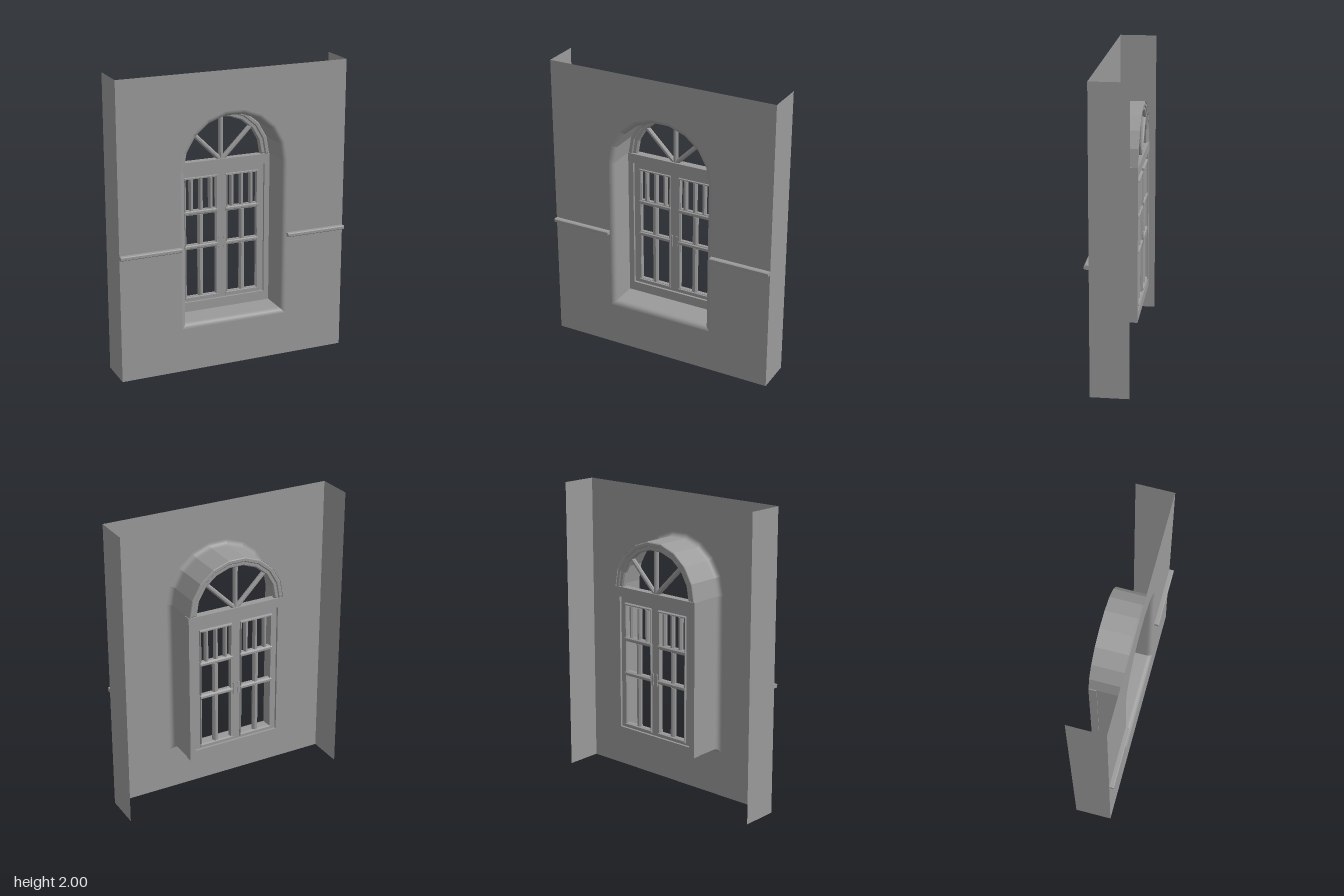
import * as THREE from 'three';

const material = new THREE.MeshStandardMaterial({ color: 0x9a9a9a, side: THREE.DoubleSide });
const SPRING = 1.365; // height where the arch begins
const SEGMENTS = 9; // facets of the arch
const FRONT = 0.109; // depth of the wall face

// Faceted half circle, from right to left
function archPoints(radius) {
  const points = [];
  for (let i = 0; i <= SEGMENTS; i++) {
    const a = (i / SEGMENTS) * Math.PI;
    points.push(new THREE.Vector2(radius * Math.cos(a), SPRING + radius * Math.sin(a)));
  }
  return points;
}

// Closed outline of the arched opening
function openingPoints(halfWidth, bottom) {
  return [new THREE.Vector2(-halfWidth, bottom), new THREE.Vector2(halfWidth, bottom), ...archPoints(halfWidth)];
}

function rectPoints(x0, y0, x1, y1) {
  return [[x0, y0], [x1, y0], [x1, y1], [x0, y1]].map(([x, y]) => new THREE.Vector2(x, y));
}

function shapeOf(outline, holes = []) {
  const shape = new THREE.Shape(outline);
  holes.forEach((h) => shape.holes.push(new THREE.Path(h)));
  return shape;
}

function add(parent, name, geometry) {
  const mesh = new THREE.Mesh(geometry, material);
  mesh.name = name;
  parent.add(mesh);
  return mesh;
}

// Flat plate with holes between two depths, optionally with chamfered edges
function plate(parent, name, outline, holes, z0, z1, bevel = 0) {
  const geometry = new THREE.ExtrudeGeometry(shapeOf(outline, holes), {
    depth: z1 - z0 - 2 * bevel, bevelEnabled: bevel > 0, bevelSize: bevel, bevelThickness: bevel, bevelOffset: -bevel, bevelSegments: 1,
  });
  return add(parent, name, geometry.translate(0, 0, z0 + bevel));
}

function box(parent, name, x0, x1, y0, y1, z0, z1) {
  const geometry = new THREE.BoxGeometry(Math.abs(x1 - x0), y1 - y0, z1 - z0);
  return add(parent, name, geometry.translate((x0 + x1) / 2, (y0 + y1) / 2, (z0 + z1) / 2));
}

// Upright eight-sided glazing bar, centred on its own origin
function barGeometry(width, length, depth) {
  const r = 0.5 / Math.cos(Math.PI / 8);
  const geometry = new THREE.CylinderGeometry(r, r, length, 8, 1, false, Math.PI / 8).scale(width, 1, depth).toNonIndexed();
  geometry.computeVertexNormals();
  return geometry;
}

// Reveal: one strip per edge of the outline, smooth in depth and faceted round the arch
function revealGeometry() {
  const rings = [];
  for (let i = 0; i <= 5; i++) {
    const a = (i / 5) * Math.PI / 2;
    rings.push({ grow: 0.032 * (1 - Math.sin(a)), z: FRONT - 0.032 + 0.032 * Math.cos(a) });
  }
  rings.push({ grow: 0, z: 0.06 }, { grow: 0, z: -0.14 });
  const outlines = rings.map((r) => openingPoints(0.341 + r.grow, 0.33 - r.grow));
  const count = outlines[0].length;
  const positions = [], indices = [];
  for (let e = 0; e < count; e++) {
    const base = positions.length / 3;
    rings.forEach((r, k) => {
      for (const p of [outlines[k][e], outlines[k][(e + 1) % count]]) positions.push(p.x, p.y, r.z);
      if (k === 0) return;
      const b = base + 2 * k;
      indices.push(b - 2, b - 1, b, b - 1, b + 1, b);
    });
  }
  const geometry = new THREE.BufferGeometry();
  geometry.setAttribute('position', new THREE.Float32BufferAttribute(positions, 3));
  geometry.setIndex(indices);
  geometry.computeVertexNormals();
  return geometry;
}

// Glazed leaf with its bars; side is +1 for left, -1 for right
function leaf(parent, side) {
  const group = new THREE.Group();
  group.name = side > 0 ? 'leftLeaf' : 'rightLeaf';
  parent.add(group);
  const rows = [[0.43, 0.763], [0.795, 1.0], [1.033, 1.245]];
  const span = (a, b) => [Math.min(side * a, side * b), Math.max(side * a, side * b)];
  const [o0, o1] = span(0, 0.304);
  const [h0, h1] = span(0.042, 0.253);
  plate(group, 'leafFrame', rectPoints(o0, 0.395, o1, 1.3),
    rows.map(([a, b]) => rectPoints(h0, a, h1, b)), -0.124, -0.104);

  // Upright bars: three in the top row, one in the others
  rows.forEach(([y0, y1], row) => {
    const centres = row === 2 ? [0.076, 0.145, 0.214] : [0.15];
    centres.forEach((c) => {
      const bar = add(group, 'uprightBar', barGeometry(row === 2 ? 0.027 : 0.036, y1 - y0, 0.036));
      bar.position.set(side * c, (y0 + y1) / 2, -0.117);
    });
  });
  // Projecting cross rails and side beads
  [[0.41, 0.43], [0.763, 0.795], [1.0, 1.033], [1.245, 1.262]].forEach(([y0, y1]) => {
    const rail = add(group, 'crossRail', barGeometry(y1 - y0, 0.235, 0.044));
    rail.rotation.z = Math.PI / 2;
    rail.position.set(side * 0.1475, (y0 + y1) / 2, -0.118);
  });
  [0.036, 0.259].forEach((x) => {
    const bead = add(group, 'sideBead', barGeometry(0.012, 0.835, 0.036));
    bead.position.set(side * x, 0.8375, -0.117);
  });

  // Slim pull handle on both faces
  for (const [z0, z1, inner] of [[-0.094, -0.088, -0.104], [-0.139, -0.133, -0.124]]) {
    box(group, 'handle', side * 0.012, side * 0.024, 0.745, 0.83, z0, z1);
    const [p0, p1] = inner < z0 ? [inner, z0] : [z1, inner];
    for (const y of [0.757, 0.818]) box(group, 'handlePost', side * 0.014, side * 0.022, y - 0.005, y + 0.005, p0, p1);
  }
}

export function createModel() {
  const model = new THREE.Group();
  model.name = 'wallWithArchedWindow';

  // Wall face with arched opening, and return walls at both sides
  const face = shapeOf(rectPoints(-0.793, 0, 0.793, 2), [openingPoints(0.373, 0.298)]);
  add(model, 'wallFace', new THREE.ShapeGeometry(face).translate(0, 0, FRONT));
  for (const side of [1, -1]) {
    const wall = add(model, 'wallReturn', new THREE.PlaneGeometry(FRONT + 0.14, 2));
    wall.rotation.y = side * Math.PI / 2;
    wall.position.set(side * 0.793, 1, (FRONT - 0.14) / 2);
  }
  add(model, 'windowReveal', revealGeometry());

  // Moulded string course on each side of the window
  for (const side of [1, -1]) {
    const profile = shapeOf([[0, 0.842], [0.025, 0.842], [0.031, 0.847], [0.031, 0.863], [0.025, 0.868], [0, 0.868]]
      .map(([x, y]) => new THREE.Vector2(x, y)));
    const course = add(model, 'stringCourse', new THREE.ExtrudeGeometry(profile, { depth: 0.416, bevelEnabled: false }));
    course.rotation.y = -Math.PI / 2; // profile depth to +z, length to -x
    course.position.set(side > 0 ? 0.793 : -0.377, 0, FRONT);
  }

  // Fixed frame below the arch
  const frame = new THREE.Group();
  frame.name = 'windowFrame';
  model.add(frame);
  plate(frame, 'outerFrame', rectPoints(-0.346, 0.33, 0.346, SPRING),
    [rectPoints(-0.304, 0.395, 0.304, 1.3)], -0.14, -0.088);
  leaf(frame, 1);
  leaf(frame, -1);

  // Fanlight: two stepped arches and three spokes
  const fan = new THREE.Group();
  fan.name = 'fanlight';
  model.add(fan);
  const arch = (name, outer, inner, z0, z1, bevel) =>
    plate(fan, name, [...archPoints(outer), ...archPoints(inner).reverse()], [], z0, z1, bevel);
  arch('outerArch', 0.34, 0.31, -0.14, -0.088, 0.006);
  arch('innerArch', 0.318, 0.282, -0.134, -0.098, 0.008);
  for (const angle of [-Math.PI / 4, 0, Math.PI / 4]) {
    const spoke = add(fan, 'spoke', barGeometry(0.03, 0.295, 0.03).translate(0, 0.1475, 0));
    spoke.position.set(0, SPRING - 0.012, -0.115);
    spoke.rotation.z = angle;
  }
  return model;
}
